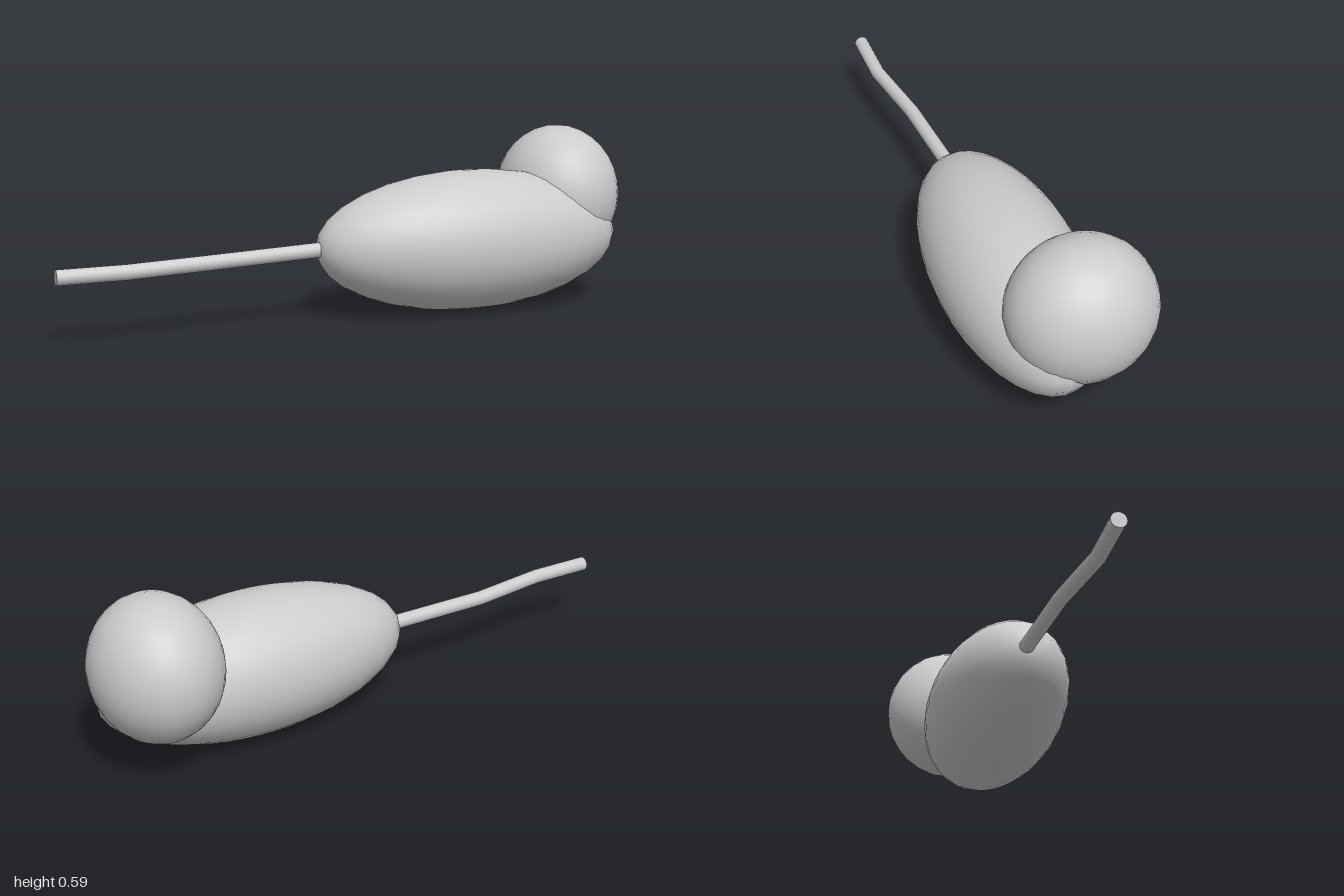
import * as THREE from 'three';

const material = new THREE.MeshStandardMaterial({ color: 0xcccccc });

function ellipsoid(name, radii, centre) {
  const geometry = new THREE.SphereGeometry(1, 32, 16);
  geometry.scale(...radii);
  const mesh = new THREE.Mesh(geometry, material);
  mesh.name = name;
  mesh.position.set(...centre);
  return mesh;
}

// Round rod along x whose rings are moved onto the given points
function bentRod(name, points, radius) {
  const rings = points.length - 1;
  const geometry = new THREE.CylinderGeometry(radius, radius, rings, 16, rings);
  geometry.rotateZ(Math.PI / 2); // the first ring now lies at -x
  const pos = geometry.attributes.position;
  for (let i = 0; i < pos.count; i++) {
    const [x, y, z] = points[Math.round(pos.getX(i) + rings / 2)];
    pos.setXYZ(i, x, pos.getY(i) + y, pos.getZ(i) + z);
  }
  const mesh = new THREE.Mesh(geometry, material);
  mesh.name = name;
  return mesh;
}

export function createModel() {
  const group = new THREE.Group();
  group.name = 'mouse';

  group.add(ellipsoid('body', [0.545, 0.235, 0.235], [0.41, 0.235, 0.046]));
  group.add(ellipsoid('head', [0.206, 0.235, 0.235], [0.792, 0.359, -0.046]));

  // Tail, from the tip to its root inside the body
  group.add(bentRod('tail', [
    [-1, 0.226, 0.105],
    [-0.78, 0.226, 0.105],
    [-0.5, 0.226, 0.062],
    [0, 0.239, 0.035],
  ], 0.025));

  return group;
}
